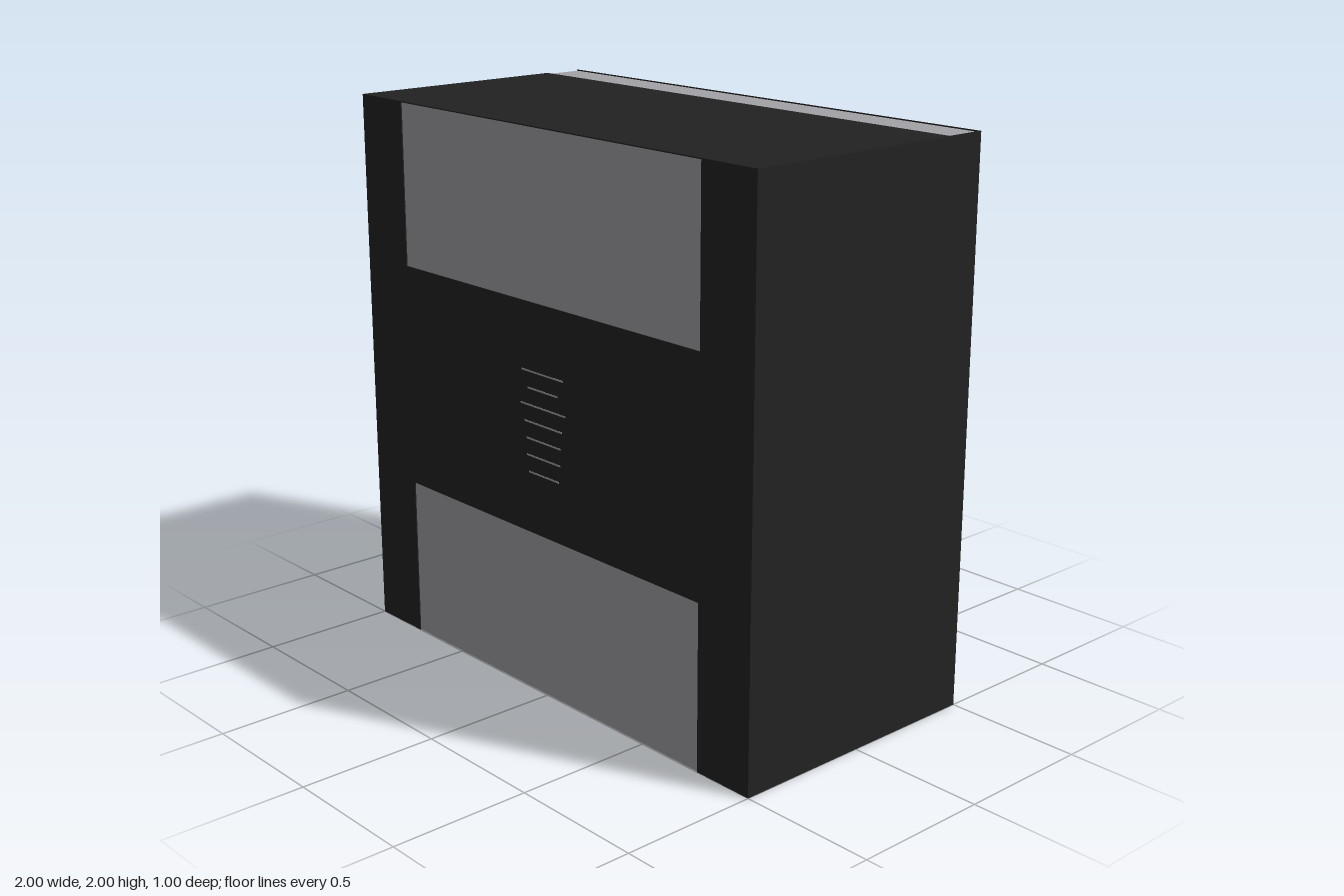
import * as THREE from 'three';

const T = 0.004; // plate thickness

export function createModel() {
  const group = new THREE.Group();
  const light = new THREE.MeshStandardMaterial({ color: 0xa3a3a8 });
  light.name = 'light grey';
  const dark = new THREE.MeshStandardMaterial({ color: 0x222222 });
  dark.name = 'near black';

  // Box given by its lower and upper corners
  const box = (name, mat, [x0, y0, z0], [x1, y1, z1]) => {
    const mesh = new THREE.Mesh(new THREE.BoxGeometry(x1 - x0, y1 - y0, z1 - z0), mat);
    mesh.position.set((x0 + x1) / 2, (y0 + y1) / 2, (z0 + z1) / 2);
    mesh.name = name;
    group.add(mesh);
  };

  // Light body, left bare on the underside and wherever no panel covers it
  box('body', light, [-1 + T, 0, -0.5 + T], [1 - T, 2 - T, 0.5 - T]);

  // Full dark panels on the back and the left side
  box('backPanel', dark, [-1, 0, -0.5], [1, 2, -0.5 + T]);
  box('leftPanel', dark, [1 - T, 0, -0.5], [1, 2, 0.5]);

  // Partial panels on the top and the right side
  box('topPanel', dark, [-1, 2 - T, -0.35], [1, 2, 0.5]);
  box('rightPanel', dark, [-1, 0, -0.35], [-1 + T, 1.65, 0.5]);

  // H-shaped front: one extruded outline
  const w = 0.765, lo = 0.59, hi = 1.41;
  const outline = [[-1, 0], [-w, 0], [-w, lo], [w, lo], [w, 0], [1, 0],
    [1, 2], [w, 2], [w, hi], [-w, hi], [-w, 2], [-1, 2]];
  const shape = new THREE.Shape(outline.map(([x, y]) => new THREE.Vector2(x, y)));
  const front = new THREE.Mesh(new THREE.ExtrudeGeometry(shape, { depth: T, bevelEnabled: false }), dark);
  front.position.z = 0.5 - T;
  front.name = 'frontPanel';
  group.add(front);

  // Fine light slits in the middle of the front and one on the right side
  const halfWidths = [0.08, 0.09, 0.09, 0.1, 0.12, 0.08, 0.11];
  halfWidths.forEach((h, i) => {
    const y = 0.81 + i * 0.06;
    box('frontSlit', light, [-h, y - 0.003, 0.499], [h, y + 0.003, 0.501]);
  });
  box('sideSlit', light, [-1.001, 0.915, -0.11], [-0.999, 0.925, 0.11]);

  return group;
}
